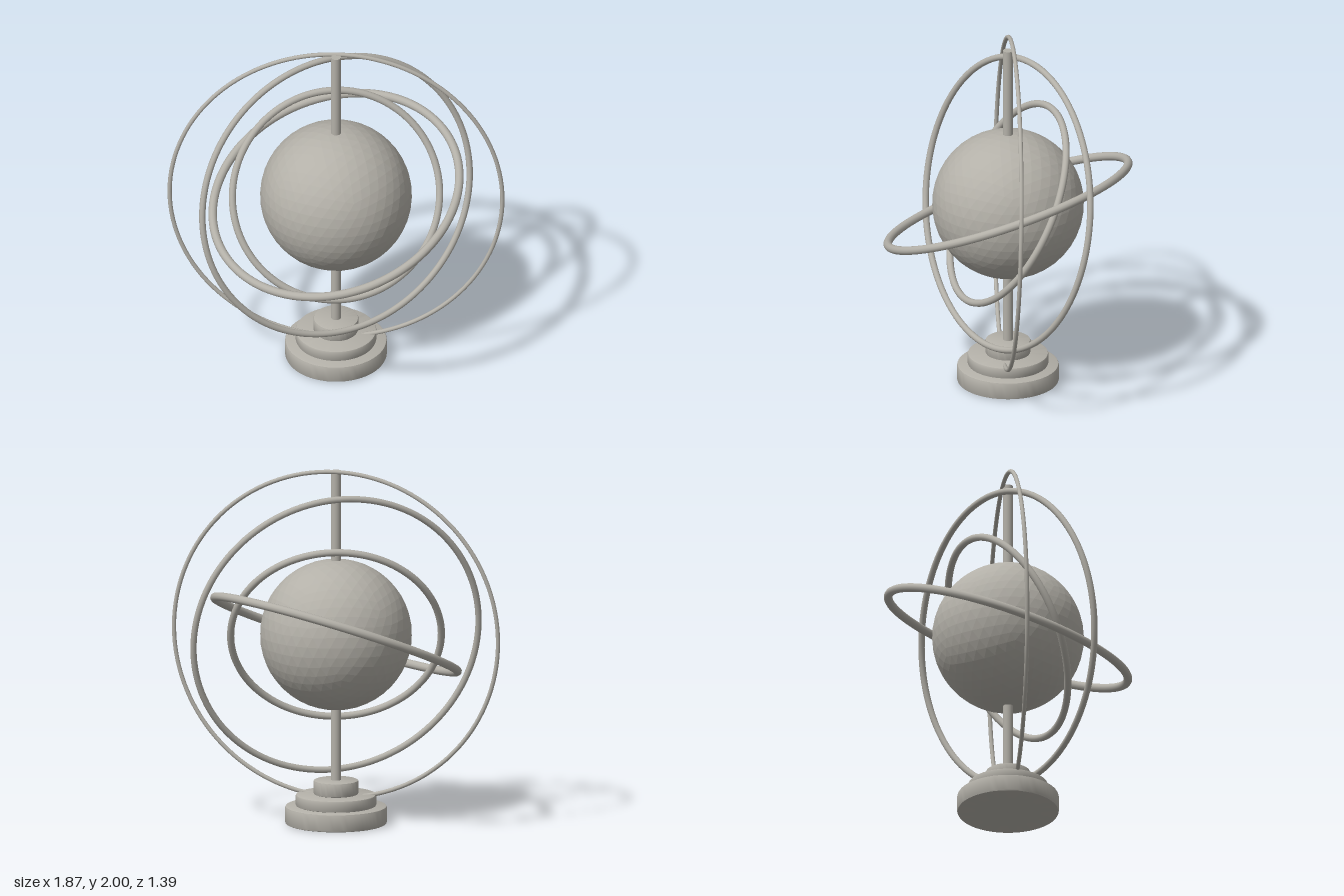
import * as THREE from 'three';
import { toCreasedNormals } from 'three/addons/utils/BufferGeometryUtils.js';

const CENTRE_Y = 1.065;

export function createModel() {
  const model = new THREE.Group();
  model.name = 'armillarySphere';
  const stone = new THREE.MeshStandardMaterial({ color: 0xb3b0a8 });
  stone.name = 'warmGrey';
  const facetedStone = stone.clone();
  facetedStone.flatShading = true;

  const add = (name, geometry, y, material = stone) => {
    const mesh = new THREE.Mesh(geometry, material);
    mesh.name = name;
    mesh.position.y = y;
    model.add(mesh);
    return mesh;
  };

  // Stepped round base, each tier with a small bevel: radius, bottom, top
  const tiers = [[0.282, 0, 0.1], [0.224, 0.1, 0.165], [0.125, 0.165, 0.245]];
  tiers.forEach(([r, y0, y1], i) => {
    const b = 0.009, h = y1 - y0;
    const profile = [
      [0, 0], [r - b, 0], [r - b * 0.3, b * 0.3], [r, b],
      [r, h - b], [r - b * 0.3, h - b * 0.3], [r - b, h], [0, h],
    ].map(([x, y]) => new THREE.Vector2(x, y));
    add('baseTier' + (i + 1), toCreasedNormals(new THREE.LatheGeometry(profile, 64), 0.6), y0);
  });

  // Vertical axis rod
  add('axisRod', new THREE.CylinderGeometry(0.028, 0.028, 1.77, 24), 1.105);

  // Faceted globe with a vertex at each pole
  const globe = new THREE.IcosahedronGeometry(0.421, 7);
  globe.rotateZ(-Math.atan(2 / (1 + Math.sqrt(5))));
  add('globe', globe, CENTRE_Y, facetedStone);

  // Tilted rings: name, radius, tube radius, direction of the ring's axis
  const rings = [
    ['outerRing', 0.923, 0.012, [0, 0.033, 1]],
    ['largeRing', 0.814, 0.018, [0.455, 0.215, 0.864]],
    ['horizonRing', 0.704, 0.024, [-0.225, 0.924, 0.307]],
    ['innerRing', 0.584, 0.02, [0.221, 0.473, 0.853]],
  ];
  const forward = new THREE.Vector3(0, 0, 1);
  for (const [name, radius, tube, axis] of rings) {
    const ring = add(name, new THREE.TorusGeometry(radius, tube, 12, 128), CENTRE_Y);
    ring.quaternion.setFromUnitVectors(forward, new THREE.Vector3(...axis).normalize());
  }
  return model;
}
